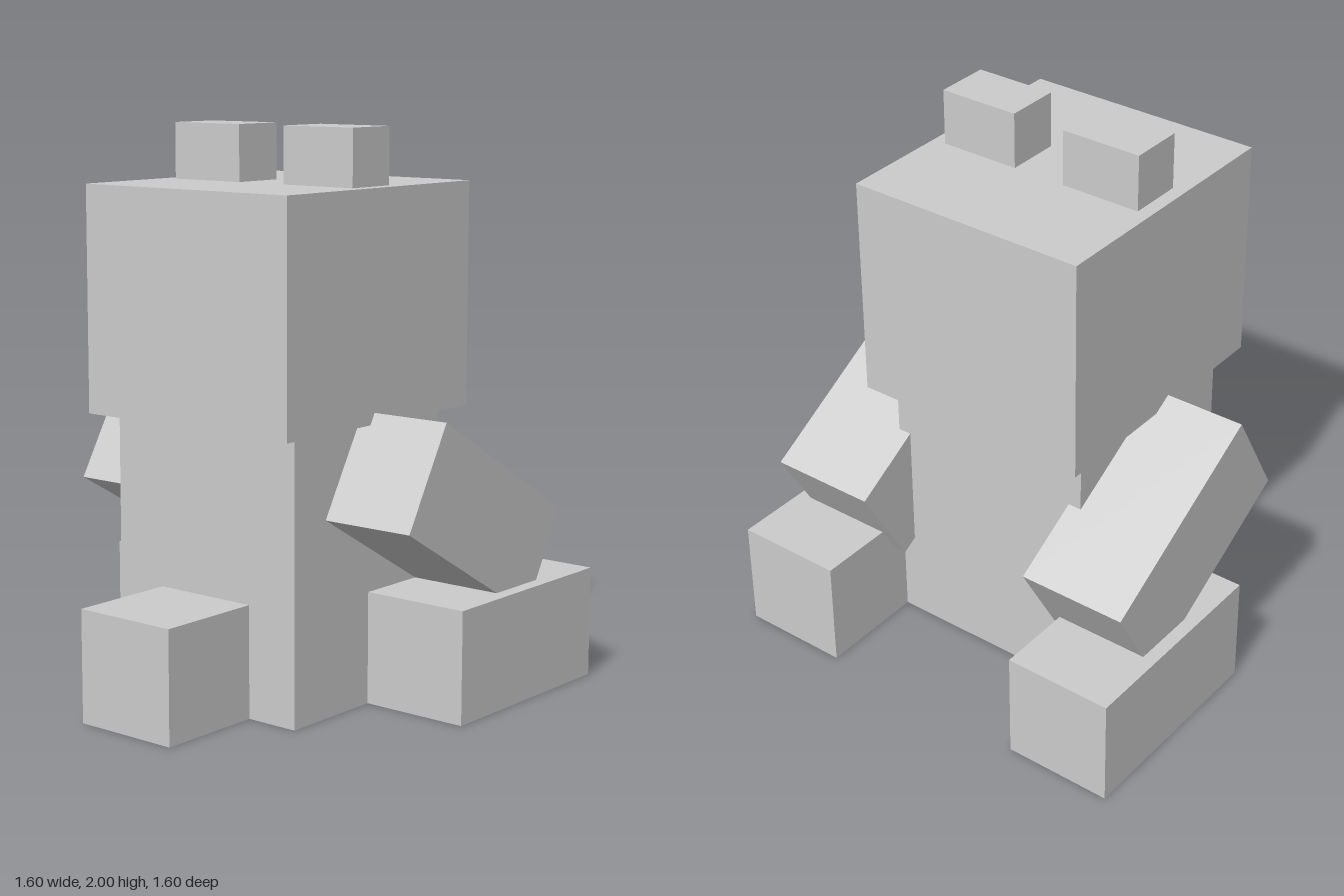
import * as THREE from 'three';

export function createModel() {
  const model = new THREE.Group();
  const material = new THREE.MeshStandardMaterial({ color: 0xcccccc, flatShading: true });

  // Adds a box given its size and centre
  function addBox(name, size, centre) {
    const mesh = new THREE.Mesh(new THREE.BoxGeometry(...size), material);
    mesh.name = name;
    mesh.position.set(...centre);
    model.add(mesh);
    return mesh;
  }

  addBox('body', [0.8, 1, 0.8], [0, 0.5, 0]);
  addBox('head', [0.9, 0.8, 1], [0, 1.4, 0]);
  addBox('tail', [0.4, 0.4, 0.4], [0, 0.2, 0.6]);

  // Paired limbs and ears
  for (const [side, s] of [['left', 1], ['right', -1]]) {
    addBox(side + 'Ear', [0.3, 0.2, 0.2], [s * 0.25, 1.9, 0]);
    addBox(side + 'Leg', [0.4, 0.4, 0.8], [s * 0.6, 0.2, -0.4]);
    // Arms slope down towards the legs
    const arm = addBox(side + 'Arm', [0.4, 0.4, 0.8], [s * 0.55, 0.667, -0.21]);
    arm.rotation.x = -Math.PI / 6;
  }

  return model;
}
